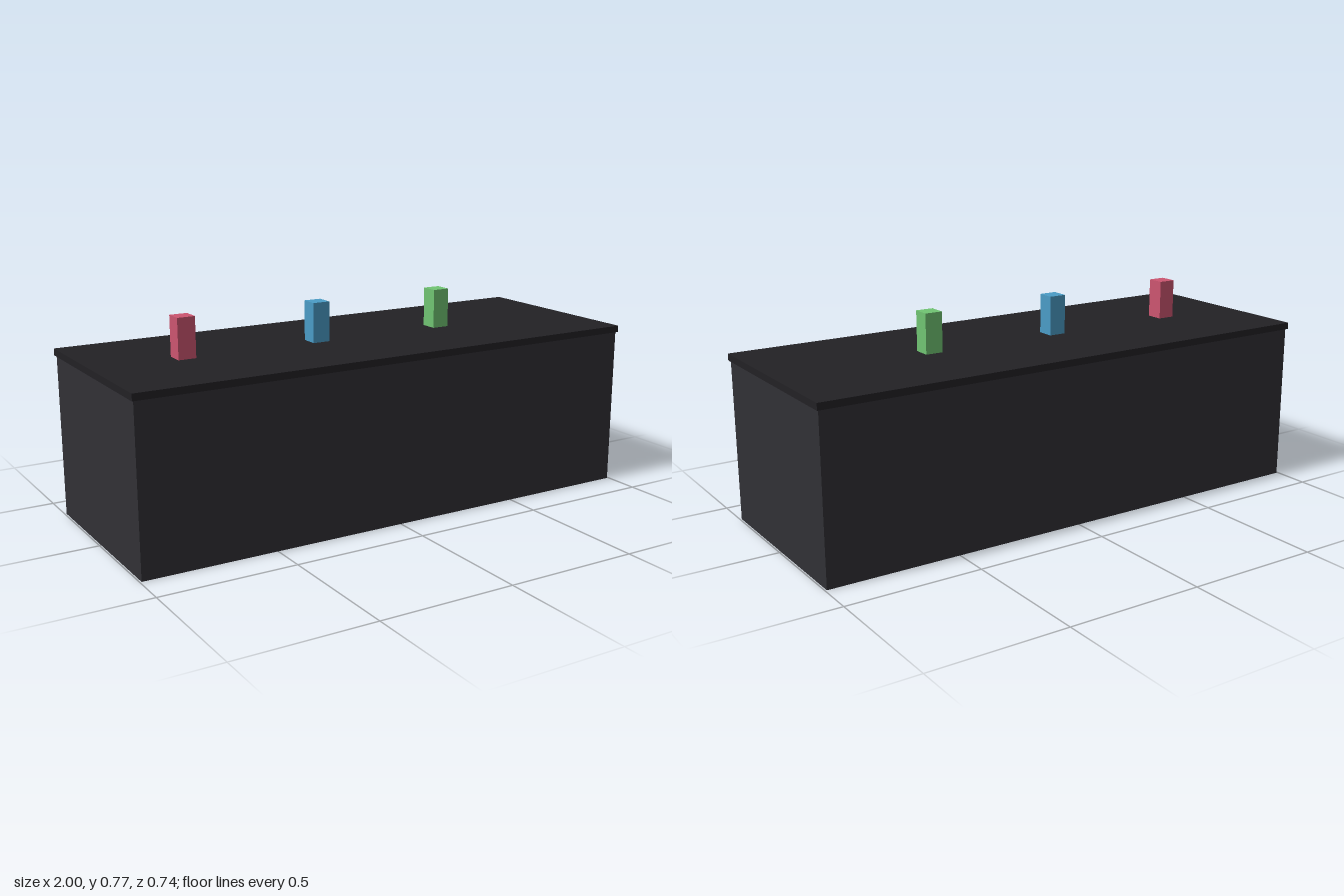
import * as THREE from 'three';

// Box standing on height y, centred at x
function addBox(group, name, color, [w, h, d], x, y) {
  const mesh = new THREE.Mesh(
    new THREE.BoxGeometry(w, h, d),
    new THREE.MeshStandardMaterial({ color })
  );
  mesh.name = name;
  mesh.position.set(x, y + h / 2, 0);
  group.add(mesh);
}

export function createModel() {
  const model = new THREE.Group();
  model.name = 'counter';

  const bodyHeight = 0.598;
  const topHeight = 0.025;

  // Counter body with a slightly overhanging top
  addBox(model, 'counterBody', 0x313035, [1.987, bodyHeight, 0.728], 0, 0);
  addBox(model, 'counterTop', 0x222125, [2, topHeight, 0.742], 0, bodyHeight);

  // Evenly spaced coloured blocks along the top
  const blocks = [
    ['redBlock', 0xcc5570],
    ['blueBlock', 0x4a9cc6],
    ['greenBlock', 0x70c472],
  ];
  blocks.forEach(([name, color], i) => {
    addBox(model, name, color, [0.066, 0.147, 0.066], -0.664 + i * 0.53, bodyHeight + topHeight);
  });

  return model;
}
